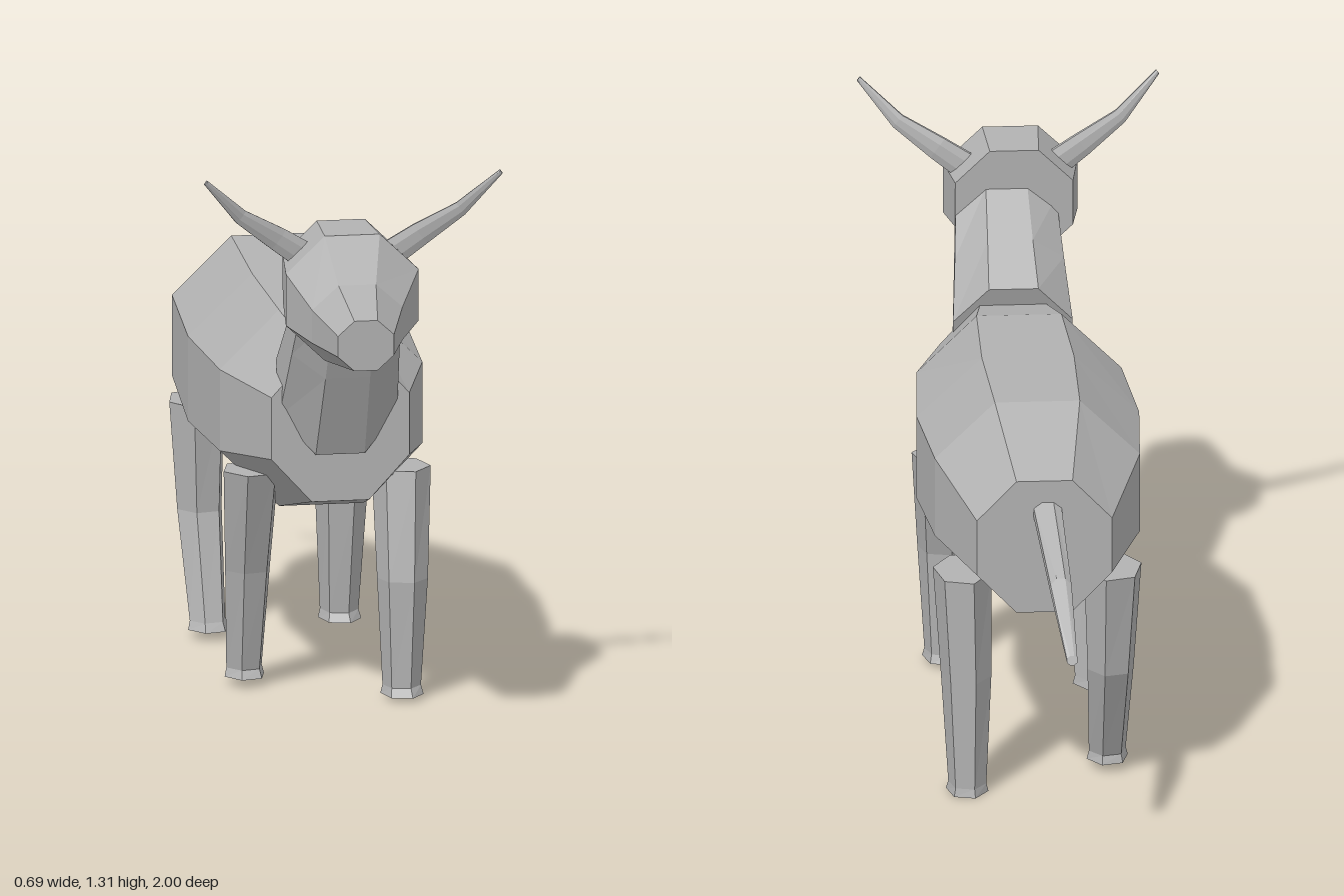
import * as THREE from 'three';

const V = (x, y, z) => new THREE.Vector3(x, y, z);

// Closed faceted skin over sections { c: centre, u, v: half axes }, with n sides.
function loft(sections, n, phaseDeg) {
  const rings = sections.map(({ c, u, v }) => Array.from({ length: n }, (_, i) => {
    const a = THREE.MathUtils.degToRad(phaseDeg) + (i / n) * Math.PI * 2;
    return c.clone().addScaledVector(u, Math.cos(a)).addScaledVector(v, Math.sin(a));
  }));
  const first = sections[0], last = sections[sections.length - 1];
  const along = last.c.clone().sub(first.c);
  const flip = first.u.clone().cross(first.v).dot(along) < 0;
  const pos = [];
  const tri = (a, b, c) => (flip ? [a, c, b] : [a, b, c]).forEach(p => pos.push(p.x, p.y, p.z));
  for (let s = 0; s < rings.length - 1; s++) {
    for (let i = 0; i < n; i++) {
      const j = (i + 1) % n, A = rings[s], B = rings[s + 1];
      tri(A[i], A[j], B[j]);
      tri(A[i], B[j], B[i]);
    }
  }
  const end = rings[rings.length - 1];
  for (let i = 0; i < n; i++) {
    const j = (i + 1) % n;
    tri(first.c, rings[0][j], rings[0][i]);
    tri(last.c, end[i], end[j]);
  }
  const g = new THREE.BufferGeometry();
  g.setAttribute('position', new THREE.Float32BufferAttribute(pos, 3));
  g.computeVertexNormals();
  return g;
}

// Octagonal section from its top and bottom points: [centre x, half width, top y, top z, bottom y, bottom z]
const K = 1 / Math.cos(Math.PI / 8);
const oct = ([cx, hw, ty, tz, by, bz]) => ({
  c: V(cx, (ty + by) / 2, (tz + bz) / 2),
  u: V(hw * K, 0, 0),
  v: V(0, (ty - by) / 2 * K, (tz - bz) / 2 * K),
});

// Horizontal leg section: [centre x, half width, y, front z, back z]
const slice = ([cx, hw, y, zf, zb]) => ({
  c: V(cx, y, (zf + zb) / 2),
  u: V(hw * 1.02, 0, 0),
  v: V(0, 0, (zf - zb) / 2 * 1.04),
});

export function createModel() {
  const model = new THREE.Group();
  const grey = new THREE.MeshStandardMaterial({ color: 0xb2b2b2, flatShading: true });
  grey.name = 'grey';
  const add = (name, geometry) => {
    const m = new THREE.Mesh(geometry, grey);
    m.name = name;
    model.add(m);
  };

  // Barrel-shaped body, chest to rump
  add('body', loft([
    [0.01, 0.16, 0.84, 0.45, 0.49, 0.45],
    [0.005, 0.235, 0.89, 0.22, 0.43, 0.22],
    [0.005, 0.255, 0.905, -0.09, 0.425, -0.09],
    [0.005, 0.235, 0.92, -0.42, 0.465, -0.42],
    [0.005, 0.155, 0.82, -0.67, 0.5, -0.67],
  ].map(oct), 8, 22.5));

  // Neck, leaning forward into the head
  add('neck', loft([
    [0.008, 0.137, 0.9, 0.36, 0.602, 0.46],
    [0.01, 0.125, 0.985, 0.45, 0.8, 0.55],
    [0.012, 0.115, 1.08, 0.545, 0.96, 0.62],
  ].map(oct), 8, 22.5));

  // Head tapering to a blunt snout
  add('head', loft([
    [-0.005, 0.135, 1.17, 0.54, 0.91, 0.545],
    [-0.006, 0.154, 1.17, 0.7, 0.878, 0.7],
    [-0.015, 0.105, 1.08, 0.82, 0.893, 0.82],
    [-0.026, 0.065, 1.037, 1.0, 0.92, 1.0],
  ].map(oct), 8, 22.5));

  // Flat curved horns: centre x, y, z, half width, half thickness
  for (const [side, name] of [[1, 'leftHorn'], [-1, 'rightHorn']]) {
    add(name, loft([
      [0.085, 1.095, 0.615, 0.036, 0.012],
      [0.165, 1.15, 0.625, 0.03, 0.01],
      [0.255, 1.21, 0.645, 0.019, 0.007],
      [0.343, 1.302, 0.682, 0.006, 0.004],
    ].map(([x, y, z, w, t]) => ({
      c: V(side * x, y, z),
      u: V(-side * 0.6 * w, 0.8 * w, 0),
      v: V(-side * 0.2 * t, 0, t),
    })), 8, 22.5));
  }

  // Tail hanging back from the rump
  add('tail', loft([
    [0, 0.033, 0.785, -0.64, 0.73, -0.65],
    [-0.02, 0.024, 0.655, -0.865, 0.605, -0.875],
    [-0.037, 0.012, 0.513, -0.992, 0.493, -1.0],
  ].map(oct), 8, 22.5));

  // Legs with small flared hooves, each in its own stride
  const legs = {
    frontLeftLeg: [
      [0.18, 0.066, 0.53, 0.36, 0.205],
      [0.172, 0.057, 0.28, 0.405, 0.288],
      [0.17, 0.043, 0.03, 0.395, 0.3],
      [0.17, 0.048, 0.01, 0.412, 0.29],
    ],
    frontRightLeg: [
      [-0.165, 0.067, 0.53, 0.345, 0.185],
      [-0.161, 0.054, 0.28, 0.25, 0.135],
      [-0.16, 0.043, 0.04, 0.19, 0.09],
      [-0.16, 0.048, 0.02, 0.205, 0.083],
    ],
    backLeftLeg: [
      [0.18, 0.066, 0.53, -0.365, -0.56],
      [0.172, 0.057, 0.28, -0.4, -0.55],
      [0.17, 0.043, 0.02, -0.437, -0.54],
      [0.17, 0.048, 0, -0.42, -0.545],
    ],
    backRightLeg: [
      [-0.165, 0.067, 0.53, -0.37, -0.56],
      [-0.161, 0.054, 0.28, -0.385, -0.515],
      [-0.16, 0.043, 0.04, -0.3, -0.395],
      [-0.16, 0.048, 0.02, -0.283, -0.403],
    ],
  };
  for (const [name, rows] of Object.entries(legs)) {
    add(name, loft(rows.map(slice), 6, rows[0][0] > 0 ? 12 : 48));
  }

  return model;
}
